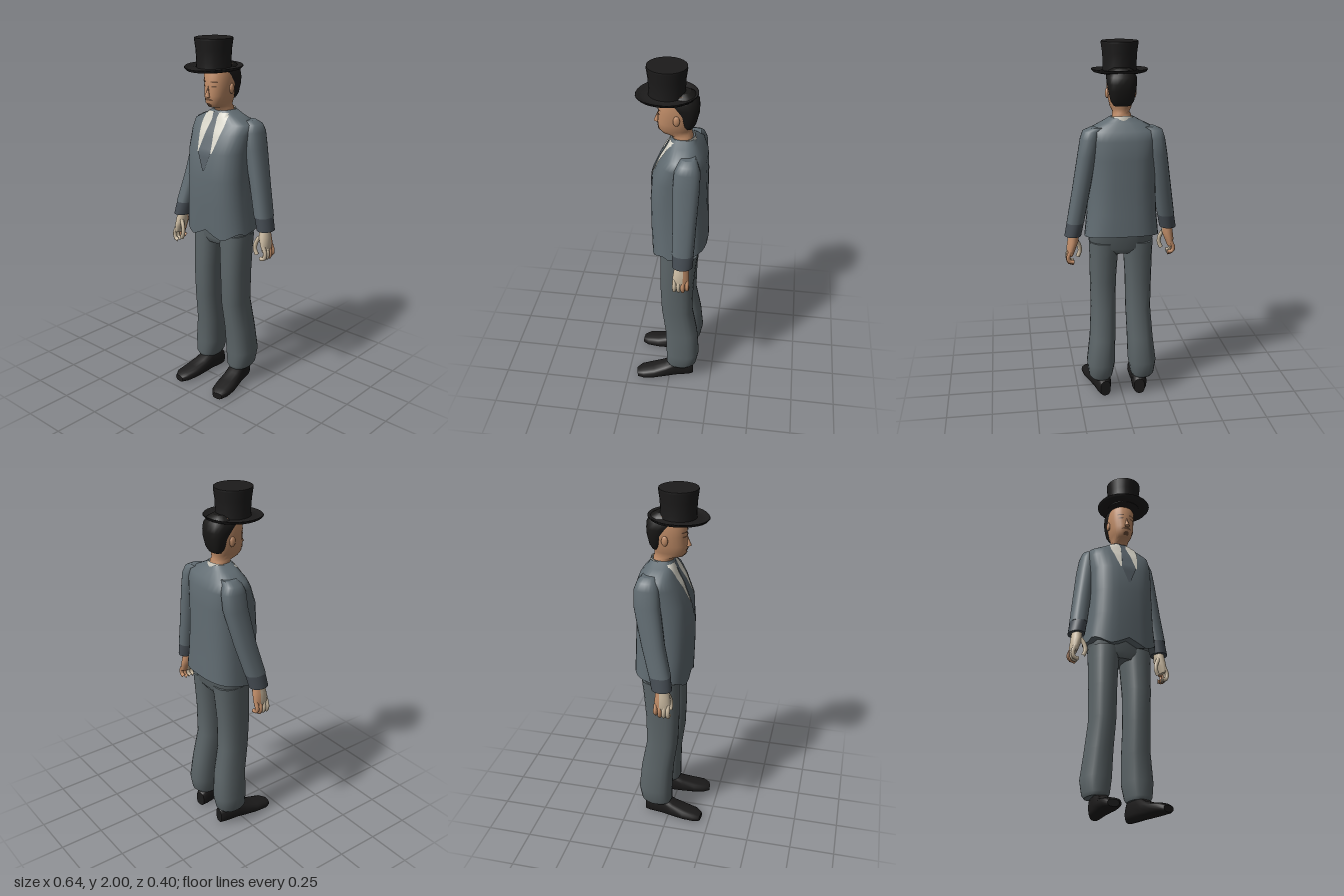
import * as THREE from 'three';

const material = (name, color, side = THREE.FrontSide) => {
  const m = new THREE.MeshStandardMaterial({ color, side });
  m.name = name;
  return m;
};

// Lofted skin through rings [y, centreX, halfWidth, frontZ, backZ], listed upwards.
// e < 1 gives a boxier outline; from/to limit the sweep to part of the outline.
function loft(rings, { n = 20, e = 1, from = 0, to = Math.PI * 2, caps = true } = {}) {
  const pos = [], idx = [];
  const closed = to - from > 6.28, cols = closed ? n : n + 1;
  const pw = (v) => Math.sign(v) * Math.pow(Math.abs(v), e);
  const ring = ([y, cx, rx, zf, zb]) => {
    for (let i = 0; i < cols; i++) {
      const t = from + (to - from) * i / n;
      pos.push(cx + rx * pw(Math.cos(t)), y, (zf + zb) / 2 + (zf - zb) / 2 * pw(Math.sin(t)));
    }
  };
  rings.forEach(ring);
  for (let r = 0; r < rings.length - 1; r++) {
    for (let i = 0; i < n; i++) {
      const a = r * cols + i, b = r * cols + (i + 1) % cols;
      idx.push(a, a + cols, b, b, a + cols, b + cols);
    }
  }
  if (caps) {
    [rings[0], rings[rings.length - 1]].forEach((q, top) => {
      const s = pos.length / 3;
      ring(q);
      const c = pos.length / 3;
      pos.push(q[1], q[0], (q[3] + q[4]) / 2);
      for (let i = 0; i < n; i++) {
        const a = s + i, b = s + (i + 1) % cols;
        if (top) idx.push(c, b, a); else idx.push(c, a, b);
      }
    });
  }
  const g = new THREE.BufferGeometry();
  g.setAttribute('position', new THREE.Float32BufferAttribute(pos, 3));
  g.setIndex(idx);
  g.computeVertexNormals();
  return g;
}

// Front surface depth of a loft at (x, y)
function frontZ(rings, e, x, y) {
  let k = 0;
  while (k < rings.length - 2 && rings[k + 1][0] < y) k++;
  const A = rings[k], B = rings[k + 1];
  const f = THREE.MathUtils.clamp((y - A[0]) / (B[0] - A[0]), 0, 1);
  const [, cx, rx, zf, zb] = A.map((v, i) => v + (B[i] - v) * f);
  const u = Math.min(1, Math.abs((x - cx) / rx));
  return (zf + zb) / 2 + (zf - zb) / 2 * Math.pow(1 - Math.pow(u, 2 / e), e / 2);
}

// Thin panel lying on a loft's front; rows are [y, x0, x1] listed upwards
function panel(rings, e, rows, lift = 0.004) {
  const R = 16, C = 6, g = new THREE.PlaneGeometry(1, 1, C, R), p = g.attributes.position;
  for (let i = 0; i < p.count; i++) {
    const u = p.getX(i) + 0.5, v = (p.getY(i) + 0.5) * (rows.length - 1);
    const k = Math.min(rows.length - 2, Math.floor(v));
    const [y, x0, x1] = rows[k].map((a, j) => a + (rows[k + 1][j] - a) * (v - k));
    const x = x0 + (x1 - x0) * u;
    p.setXYZ(i, x, y, frontZ(rings, e, x, y) + lift);
  }
  g.computeVertexNormals();
  return g;
}

export function createModel() {
  const model = new THREE.Group();
  model.name = 'suitedMan';
  const jacket = material('jacketGrey', 0x616c72);
  const trouser = material('trouserGrey', 0x5c6568);
  const cuffDark = material('cuffGrey', 0x464d54);
  const shirt = material('shirtIvory', 0xd2cfc3, THREE.DoubleSide);
  const tie = material('tieGrey', 0x586269, THREE.DoubleSide);
  const skin = material('skin', 0xc18d68);
  const pale = material('paleSkin', 0xcbbba2);
  const hair = material('hairBlack', 0x191817);
  const black = material('hatAndShoeBlack', 0x1c1b1b, THREE.DoubleSide);
  const beard = material('beardBrown', 0x70503a, THREE.DoubleSide);
  const add = (name, geo, mat, parent = model) => {
    const m = new THREE.Mesh(geo, mat);
    m.name = name;
    parent.add(m);
    return m;
  };

  // Jacket body, with a hem that dips in front and rises at the back
  const body = [
    [0.945, -0.003, 0.203, 0.105, -0.2], [1.1, -0.005, 0.188, 0.113, -0.196],
    [1.25, -0.006, 0.182, 0.115, -0.19], [1.4, -0.006, 0.182, 0.104, -0.19],
    [1.5, -0.006, 0.19, 0.062, -0.184], [1.55, -0.006, 0.185, 0.032, -0.165],
    [1.59, -0.005, 0.105, 0.012, -0.13], [1.615, -0.005, 0.06, 0, -0.115],
  ];
  const bodyE = 0.72;
  const coat = loft(body, { n: 32, e: bodyE });
  const cp = coat.attributes.position;
  for (let i = 0; i < cp.count; i++) {
    if (cp.getY(i) > 0.95) continue;
    const x = cp.getX(i), z = cp.getZ(i);
    cp.setY(i, z > 0 ? 0.94 + 0.022 * Math.cos(x * 31) : 0.945 - z * 0.2);
  }
  coat.computeVertexNormals();
  add('jacketBody', coat, jacket);

  // Shirt front, tie and collar
  for (const s of [-1, 1]) {
    const rows = [[1.4, 0.042, 0.05], [1.47, 0.033, 0.066], [1.54, 0.02, 0.08], [1.605, 0.01, 0.078]]
      .map(([y, a, b]) => (s > 0 ? [y, a - 0.005, b - 0.005] : [y, -b - 0.005, -a - 0.005]));
    add('shirtFront', panel(body, bodyE, rows), shirt);
  }
  add('tie', panel(body, bodyE, [[1.3, -0.01, 0], [1.4, -0.049, 0.039], [1.48, -0.036, 0.026],
    [1.57, -0.02, 0.01], [1.605, -0.026, 0.016]], 0.006), tie);
  const collar = loft([[1.59, -0.005, 0.075, 0.022, -0.125], [1.622, -0.005, 0.062, 0.008, -0.118]], { caps: false });
  const kp = collar.attributes.position;
  for (let i = 0; i < kp.count; i++) kp.setY(i, kp.getY(i) - 0.01 - (kp.getZ(i) + 0.05) * 0.2);
  add('collar', collar, shirt);

  // Sleeves and hands; the right arm swings forward
  for (const s of [-1, 1]) {
    const swing = s < 0 ? 0.09 : 0;
    const name = s > 0 ? 'left' : 'right';
    const ring = ([y, cx, rx, zf, zb, w]) => [y, s * cx - 0.003, rx, zf + swing * w, zb + swing * w];
    const low = ring([1.05, 0.257, 0.047, -0.03, -0.148, 0.85]);
    add(name + 'Cuff', loft([ring([0.975, 0.272, 0.046, -0.033, -0.145, 1]), low]), cuffDark);
    add(name + 'Sleeve', loft([low, ring([1.22, 0.226, 0.048, -0.03, -0.155, 0.4]),
      ring([1.42, 0.191, 0.05, -0.025, -0.165, 0]), ring([1.51, 0.176, 0.05, -0.03, -0.165, 0]),
      ring([1.55, 0.166, 0.046, -0.045, -0.15, 0]), ring([1.568, 0.135, 0.04, -0.06, -0.135, 0])],
    { e: 0.85 }), jacket);

    const hand = new THREE.Group();
    hand.name = name + 'Hand';
    hand.position.set(-0.003, 0, -0.085 + swing);
    model.add(hand);
    const palm = [[0.86, s * 0.288, 0.016, 0.043, -0.04], [0.9, s * 0.282, 0.026, 0.047, -0.043],
      [0.94, s * 0.272, 0.031, 0.042, -0.04], [0.99, s * 0.268, 0.028, 0.03, -0.033]];
    add('palmFront', loft(palm, { n: 12, from: -0.3, to: Math.PI + 0.3 }), pale, hand);
    add('palmBack', loft(palm, { n: 8, from: Math.PI + 0.3, to: Math.PI * 2 - 0.3 }), skin, hand);
    const tube = (pts, r) => new THREE.TubeGeometry(
      new THREE.CatmullRomCurve3(pts.map(([x, y, z]) => new THREE.Vector3(s * x, y, z))), 8, r, 7);
    for (let i = 0; i < 4; i++) {
      const z = 0.036 - i * 0.023, d = i === 3 ? 0.012 : 0;
      add('finger', tube([[0.288, 0.89, z], [0.302, 0.85, z], [0.294, 0.82 + d, z],
        [0.27, 0.815 + d, z]], 0.0115), i < 2 ? pale : skin, hand);
    }
    add('thumb', tube([[0.255, 0.94, 0.025], [0.235, 0.9, 0.035], [0.232, 0.865, 0.038],
      [0.245, 0.835, 0.036]], 0.012), pale, hand);
  }

  // Trousers
  add('trouserSeat', loft([[0.865, 0, 0.14, 0.035, -0.125], [0.9, 0, 0.177, 0.054, -0.152],
    [1.02, 0, 0.18, 0.06, -0.17]], { e: 0.8 }), trouser);
  for (const s of [-1, 1]) {
    const leg = [[0.1, 0.12, 0.058, 0.01, -0.14], [0.12, 0.121, 0.068, 0.02, -0.16],
      [0.2, 0.119, 0.08, 0.02, -0.175], [0.35, 0.108, 0.073, 0.026, -0.162],
      [0.52, 0.1, 0.07, 0.05, -0.13], [0.7, 0.1, 0.073, 0.057, -0.133],
      [0.85, 0.096, 0.079, 0.056, -0.146], [0.93, 0.093, 0.085, 0.055, -0.155]];
    add(s > 0 ? 'leftTrouserLeg' : 'rightTrouserLeg',
      loft(leg.map(([y, x, ...r]) => [y, s * x, ...r]), { e: 0.85 }), trouser);
  }

  // Shoes, lofted from heel to toe and turned outwards
  for (const s of [-1, 1]) {
    const g = loft([[-0.14, 0, 0.03, 0, -0.09], [-0.11, 0, 0.043, 0, -0.12], [-0.03, 0, 0.046, 0, -0.125],
      [0.03, 0, 0.052, 0, -0.09], [0.1, 0, 0.058, 0, -0.066], [0.165, 0, 0.052, 0, -0.053],
      [0.2, 0, 0.03, 0, -0.036]], { n: 16, e: 0.75 });
    g.rotateX(Math.PI / 2);
    const shoe = add(s > 0 ? 'leftShoe' : 'rightShoe', g, black);
    shoe.rotation.y = s > 0 ? 0.2 : -0.1;
    shoe.position.set(s > 0 ? 0.127 : -0.112, 0, 0);
  }

  // Head and neck
  const skull = [[1.57, -0.004, 0.052, 0, -0.11], [1.628, -0.004, 0.05, 0.002, -0.105],
    [1.638, -0.004, 0.044, 0.056, -0.1], [1.66, -0.004, 0.056, 0.073, -0.1],
    [1.7, -0.004, 0.066, 0.078, -0.11], [1.755, -0.004, 0.073, 0.074, -0.12],
    [1.82, -0.004, 0.075, 0.074, -0.12], [1.86, -0.004, 0.06, 0.05, -0.1]];
  add('head', loft(skull, { n: 24, e: 0.9 }), skin);
  const nose = add('nose', new THREE.ConeGeometry(0.015, 0.06, 8), skin);
  nose.position.set(-0.004, 0.03 + 1.695, 0.079);
  nose.rotation.x = -0.15;
  for (const s of [-1, 1]) {
    const ear = add('ear', new THREE.SphereGeometry(0.02, 10, 8), skin);
    ear.scale.set(0.5, 1.4, 0.9);
    ear.position.set(-0.004 + s * 0.074, 1.735, -0.028);
    const x = -0.004 + s * 0.033;
    add('eye', panel(skull, 0.9, [[1.748, x - 0.011, x + 0.011], [1.756, x - 0.013, x + 0.013]], 0.003), beard);
    add('eyebrow', panel(skull, 0.9, [[1.772, x - 0.018, x + 0.018], [1.779, x - 0.016, x + 0.016]], 0.003), beard);
  }
  add('moustache', panel(skull, 0.9, [[1.676, -0.034, 0.026], [1.684, -0.028, 0.02], [1.69, -0.012, 0.004]], 0.003), beard);
  add('chinBeard', panel(skull, 0.9, [[1.643, -0.018, 0.01], [1.655, -0.02, 0.012], [1.664, -0.01, 0.002]], 0.003), beard);

  // Hair around the back of the head
  add('hair', loft([[1.675, -0.004, 0.045, -0.055, -0.108], [1.7, -0.004, 0.062, -0.045, -0.122],
    [1.755, -0.004, 0.073, -0.025, -0.136], [1.79, -0.004, 0.079, 0.005, -0.138],
    [1.825, -0.004, 0.08, 0.045, -0.135], [1.855, -0.004, 0.065, 0.03, -0.115],
    [1.87, -0.004, 0.04, 0, -0.09]], { e: 0.8 }), hair);

  // Top hat: flared crown, and a brim curling up at the sides
  const hat = new THREE.Group();
  hat.name = 'topHat';
  hat.position.set(-0.006, 0, 0.03);
  model.add(hat);
  add('crown', loft([[1.835, 0, 0.093, 0.095, -0.097], [1.88, 0, 0.09, 0.093, -0.095],
    [1.94, 0, 0.093, 0.097, -0.098], [1.99, 0, 0.1, 0.104, -0.105], [2, 0, 0.099, 0.103, -0.104]],
  { n: 24 }), black, hat);
  const profile = [[0.085, 1.838], [0.12, 1.829], [0.142, 1.833], [0.152, 1.843], [0.149, 1.848],
    [0.138, 1.842], [0.115, 1.838], [0.085, 1.848]];
  const brim = new THREE.LatheGeometry(profile.map(([r, y]) => new THREE.Vector2(r, y)), 28);
  const bp = brim.attributes.position;
  for (let i = 0; i < bp.count; i++) {
    const x = bp.getX(i), z = bp.getZ(i);
    bp.setXYZ(i, x, bp.getY(i) + 0.4 * x * x + (z < 0 ? 0.6 * z * z : 0), z * 1.06);
  }
  brim.computeVertexNormals();
  add('brim', brim, black, hat);

  return model;
}
